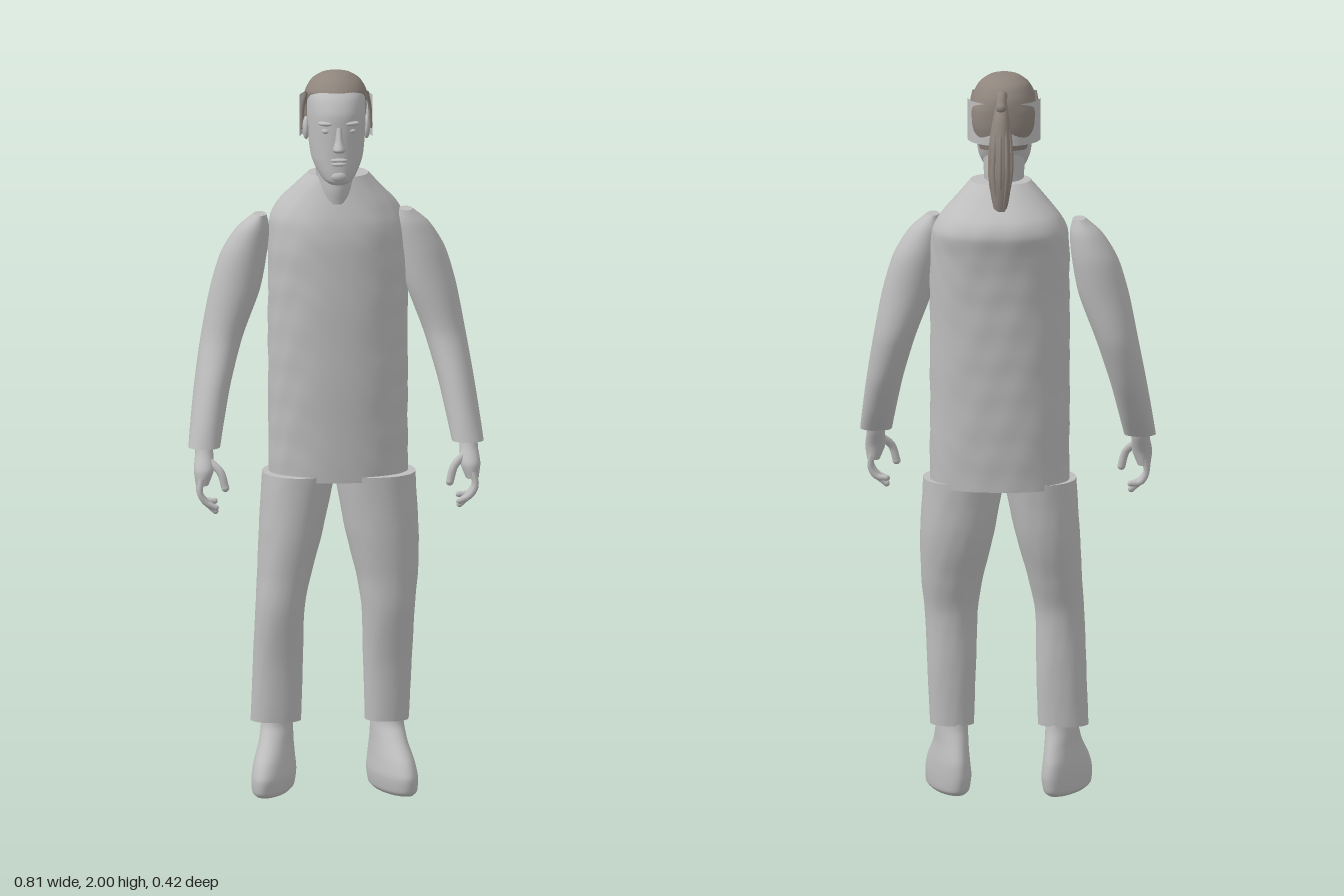
import * as THREE from 'three';

const body = new THREE.MeshStandardMaterial({ name: 'plain grey', color: 0xbdbdbd, side: THREE.DoubleSide });
const hairMat = new THREE.MeshStandardMaterial({ name: 'ash brown hair', color: 0x8f857d, side: THREE.DoubleSide });

// Closed skin through horizontal sections, bottom to top: [y, xMin, xMax, zFront, zBack].
// pow > 2 squares the section off; shear turns it outward along z; bump ripples cloth.
function loft(name, rows, { pow = 2, shear = 0, bump = 0, mat = body, seg = 40, steps = 6 } = {}) {
  const lo = new THREE.CatmullRomCurve3(rows.map(r => new THREE.Vector3(r[1], r[0], r[3])), false, 'catmullrom', 0.4);
  const hi = new THREE.CatmullRomCurve3(rows.map(r => new THREE.Vector3(r[2], r[0], r[4])), false, 'catmullrom', 0.4);
  const pos = [], idx = [], n = (rows.length - 1) * steps;
  const bend = v => Math.sign(v) * Math.abs(v) ** (2 / pow);
  for (let i = 0; i <= n; i++) {
    const a = lo.getPoint(i / n), b = hi.getPoint(i / n);
    for (let j = 0; j < seg; j++) {
      const t = j / seg * Math.PI * 2;
      const f = 1 + bump * Math.sin(a.y * 47 + 3 * Math.sin(t * 3)) * Math.sin(t * 7 + a.y * 19);
      const z = (a.z + b.z) / 2 + (a.z - b.z) / 2 * bend(Math.cos(t)) * f;
      pos.push((a.x + b.x) / 2 + (b.x - a.x) / 2 * bend(Math.sin(t)) * f + shear * z, a.y, z);
    }
  }
  for (let i = 0; i < n; i++) for (let j = 0; j < seg; j++) {
    const k = (j + 1) % seg, p = i * seg + j, q = i * seg + k;
    idx.push(p, q, q + seg, p, q + seg, p + seg);
  }
  // flat end caps with their own vertices
  for (const ring of [0, n]) {
    const start = pos.length / 3, c = [0, 0, 0];
    for (let j = 0; j < seg; j++) {
      const p = pos.slice((ring * seg + j) * 3, (ring * seg + j) * 3 + 3);
      pos.push(...p);
      p.forEach((v, m) => { c[m] += v / seg; });
    }
    pos.push(...c);
    for (let j = 0; j < seg; j++) {
      const p = start + j, q = start + (j + 1) % seg;
      idx.push(start + seg, ...(ring ? [p, q] : [q, p]));
    }
  }
  const g = new THREE.BufferGeometry();
  g.setAttribute('position', new THREE.Float32BufferAttribute(pos, 3));
  g.setIndex(idx);
  g.computeVertexNormals();
  return named(name, new THREE.Mesh(g, mat));
}

function named(name, obj) { obj.name = name; return obj; }

function blob(name, [x, y, z], [sx, sy, sz], mat = body) {
  const m = named(name, new THREE.Mesh(new THREE.SphereGeometry(1, 20, 14), mat));
  m.position.set(x, y, z);
  m.scale.set(sx, sy, sz);
  return m;
}

// Round-tipped tube through a few points
function finger(name, pts, r, mat = body) {
  const g = new THREE.Group();
  const v = pts.map(p => new THREE.Vector3(...p));
  g.add(named(name + 'Length', new THREE.Mesh(new THREE.TubeGeometry(new THREE.CatmullRomCurve3(v), 10, r, 10), mat)));
  g.add(blob(name + 'Tip', pts[pts.length - 1], [r, r, r], mat));
  return named(name, g);
}

function makeArm(name) {
  const arm = new THREE.Group();
  arm.add(loft('sleeve', [
    [0.985, 0.315, 0.402, 0.172, 0.085], [1.05, 0.302, 0.394, 0.152, 0.035], [1.15, 0.28, 0.38, 0.118, -0.025],
    [1.27, 0.245, 0.36, 0.075, -0.062], [1.4, 0.197, 0.335, 0.066, -0.066], [1.5, 0.178, 0.305, 0.062, -0.066],
    [1.57, 0.172, 0.262, 0.056, -0.05], [1.61, 0.18, 0.215, 0.045, -0.025]]));
  arm.add(loft('palm', [
    [0.89, 0.35, 0.385, 0.205, 0.148], [0.93, 0.335, 0.39, 0.203, 0.14], [0.97, 0.335, 0.385, 0.175, 0.12],
    [1.0, 0.335, 0.385, 0.16, 0.11]], { seg: 24 }));
  for (let i = 0; i < 4; i++) {
    const z = 0.154 + i * 0.015, tip = [0.84, 0.822, 0.818, 0.83][i];
    arm.add(finger('finger', [[0.37, 0.91, z], [0.375, 0.87, z + 0.003], [0.358, 0.843, z + 0.003], [0.332, tip, z + 0.002]], 0.0085));
  }
  arm.add(finger('thumb', [[0.35, 0.955, 0.165], [0.318, 0.925, 0.185], [0.305, 0.882, 0.19]], 0.011));
  return named(name, arm);
}

function makeHead() {
  const head = new THREE.Group();
  head.add(loft('neck', [
    [1.64, -0.045, 0.055, 0.1, -0.06], [1.68, -0.048, 0.056, 0.105, -0.055],
    [1.74, -0.052, 0.06, 0.1, -0.05], [1.82, -0.055, 0.063, 0.09, -0.05]]));
  head.add(loft('skull', [
    [1.703, -0.022, 0.03, 0.152, 0.07], [1.715, -0.038, 0.046, 0.163, 0.04], [1.74, -0.054, 0.062, 0.164, 0.0],
    [1.77, -0.066, 0.074, 0.163, -0.035], [1.81, -0.072, 0.08, 0.163, -0.06], [1.86, -0.075, 0.083, 0.163, -0.068],
    [1.9, -0.076, 0.084, 0.16, -0.07], [1.94, -0.073, 0.081, 0.14, -0.062], [1.975, -0.055, 0.063, 0.1, -0.035],
    [1.992, -0.02, 0.028, 0.06, 0.01]], { pow: 2.15 }));
  // face
  head.add(loft('nose', [
    [1.797, -0.01, 0.018, 0.18, 0.14], [1.806, -0.014, 0.022, 0.196, 0.14], [1.83, -0.007, 0.015, 0.183, 0.14],
    [1.865, -0.004, 0.012, 0.167, 0.14]], { seg: 20 }));
  head.add(blob('upperLip', [0.004, 1.774, 0.16], [0.024, 0.006, 0.011]));
  head.add(blob('lowerLip', [0.004, 1.763, 0.159], [0.021, 0.006, 0.011]));
  head.add(blob('chin', [0.004, 1.728, 0.152], [0.024, 0.017, 0.018]));
  for (const s of [-1, 1]) {
    head.add(blob('eye', [0.004 + s * 0.033, 1.853, 0.146], [0.014, 0.008, 0.011]));
    const brow = blob('brow', [0.004 + s * 0.034, 1.874, 0.145], [0.024, 0.007, 0.016]);
    brow.rotation.y = s * 0.35;
    head.add(brow);
    head.add(blob('ear', [0.004 + s * 0.083, 1.845, 0.047], [0.01, 0.032, 0.02]));
    head.add(finger('sideLock', [[0.004 + s * 0.083, 1.945, 0.06], [0.004 + s * 0.092, 1.9, 0.045], [0.004 + s * 0.094, 1.845, 0.042]], 0.005, hairMat));
  }
  return named('head', head);
}

function makeHair() {
  const hair = new THREE.Group();
  hair.add(loft('hairCap', [
    [1.8, -0.06, 0.068, 0.02, -0.064], [1.86, -0.08, 0.088, 0.035, -0.076], [1.905, -0.083, 0.091, 0.055, -0.078],
    [1.93, -0.083, 0.091, 0.11, -0.077], [1.95, -0.078, 0.086, 0.128, -0.071], [1.975, -0.063, 0.071, 0.108, -0.053],
    [1.993, -0.037, 0.045, 0.078, -0.015], [2.0, -0.008, 0.016, 0.05, 0.025]], { mat: hairMat }));
  // ponytail: core with strands around it
  hair.add(finger('ponytailRoot', [[0.004, 1.95, -0.05], [0.006, 1.956, -0.085], [0.006, 1.93, -0.11]], 0.015, hairMat));
  hair.add(loft('ponytail', [
    [1.615, 0.0, 0.012, -0.135, -0.15], [1.67, -0.015, 0.028, -0.118, -0.162], [1.75, -0.026, 0.038, -0.112, -0.168],
    [1.83, -0.024, 0.036, -0.1, -0.158], [1.9, -0.016, 0.028, -0.086, -0.135], [1.955, -0.006, 0.018, -0.075, -0.092]],
    { mat: hairMat, seg: 20 }));
  for (let i = 0; i < 10; i++) {
    const t = i / 10 * Math.PI * 2, s = Math.sin(t), c = Math.cos(t);
    hair.add(finger('strand', [
      [0.006 + 0.01 * s, 1.94, -0.092 + 0.01 * c], [0.006 + 0.027 * s, 1.84, -0.127 + 0.026 * c],
      [0.006 + 0.03 * s, 1.75, -0.14 + 0.026 * c], [0.006 + 0.008 * s, 1.625 + 0.02 * (i % 3), -0.142 + 0.009 * c]], 0.0055, hairMat));
  }
  return named('hair', hair);
}

export function createModel() {
  const model = named('figure', new THREE.Group());

  // jacket
  model.add(loft('torso', [
    [0.865, -0.177, 0.204, 0.11, -0.155], [1.0, -0.177, 0.204, 0.117, -0.162], [1.2, -0.178, 0.204, 0.124, -0.17],
    [1.4, -0.178, 0.204, 0.126, -0.18], [1.52, -0.177, 0.203, 0.124, -0.193], [1.58, -0.172, 0.197, 0.116, -0.206],
    [1.62, -0.152, 0.175, 0.105, -0.19], [1.665, -0.112, 0.135, 0.09, -0.14], [1.71, -0.07, 0.095, 0.075, -0.088]],
    { pow: 2.2, bump: 0.008, seg: 64, steps: 10 }));

  // arms
  model.add(makeArm('leftArm'));
  const rightArm = makeArm('rightArm');
  rightArm.scale.x = -1;
  rightArm.position.set(-0.005, -0.01, 0);
  model.add(rightArm);

  // trousers
  const depth = { 0.19: [0.06, -0.05], 0.35: [0.075, -0.056], 0.5: [0.1, -0.06], 0.6: [0.105, -0.085], 0.72: [0.112, -0.115], 0.88: [0.114, -0.128] };
  const leg = (name, xs) => model.add(loft(name, xs.map(([y, a, b]) => [y, a, b, ...depth[y]]), { bump: 0.008, pow: 2.15 }));
  leg('leftLeg', [[0.19, 0.085, 0.205], [0.35, 0.08, 0.213], [0.5, 0.075, 0.22], [0.6, 0.06, 0.23], [0.72, 0.03, 0.232], [0.88, 0.002, 0.224]]);
  leg('rightLeg', [[0.19, -0.228, -0.09], [0.35, -0.222, -0.085], [0.5, -0.216, -0.082], [0.6, -0.21, -0.062], [0.72, -0.205, -0.03], [0.88, -0.195, 0.005]]);

  // shoes, toes turned outward
  const shoe = [
    [0, 0.105, 0.19, 0.16, -0.07], [0.012, 0.095, 0.2, 0.172, -0.086], [0.05, 0.09, 0.202, 0.175, -0.092],
    [0.09, 0.095, 0.198, 0.15, -0.088], [0.135, 0.1, 0.19, 0.1, -0.07], [0.175, 0.102, 0.188, 0.062, -0.053], [0.21, 0.105, 0.185, 0.052, -0.046]];
  model.add(loft('leftShoe', shoe, { shear: 0.26 }));
  model.add(loft('rightShoe', shoe.map(([y, a, b, f, k]) => [y, -b - 0.01, -a - 0.01, f, k]), { shear: -0.26 }));

  model.add(makeHead(), makeHair());

  // half band round the back of the head
  const band = named('headBand', new THREE.Mesh(new THREE.CylinderGeometry(1, 1, 0.115, 32, 1, true, Math.PI / 2, Math.PI), body));
  band.scale.set(0.1, 1, 0.112);
  band.position.set(0.004, 1.873, 0.037);
  model.add(band);

  return model;
}
